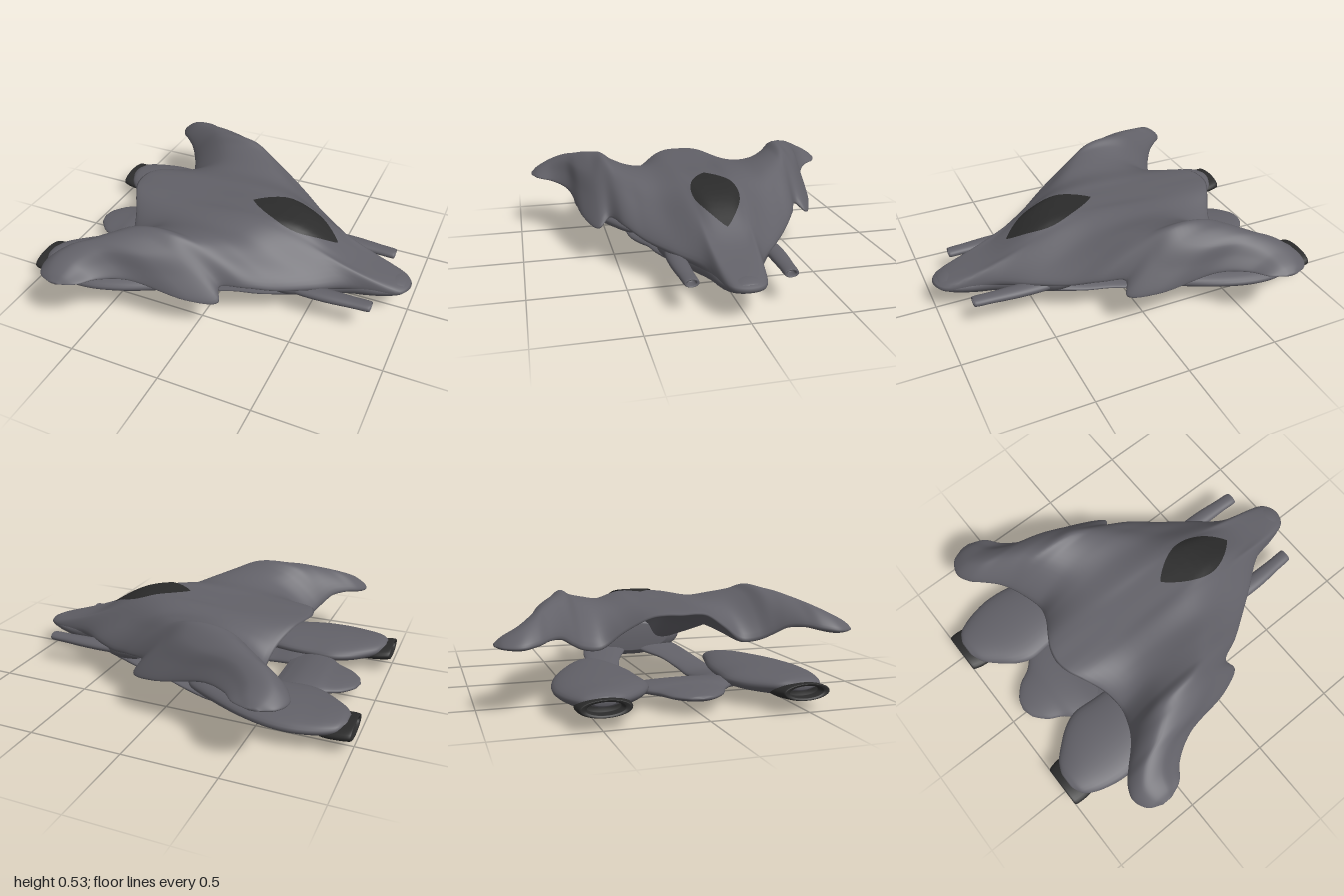
import * as THREE from 'three';

const V = (x, y, z) => new THREE.Vector3(x, y, z);
const hullGrey = new THREE.MeshStandardMaterial({ color: 0x626168 });
hullGrey.name = 'hullGrey';
const darkGrey = new THREE.MeshStandardMaterial({ color: 0x2b2b2b, side: THREE.DoubleSide });
darkGrey.name = 'darkGrey';

// Skin a list of closed rings, cap both ends, and turn the faces outwards.
function skin(rings) {
  const n = rings[0].length, m = rings.length;
  const pts = rings.flat(), idx = [];
  for (let i = 0; i < m - 1; i++) {
    for (let j = 0; j < n; j++) {
      const a = i * n + j, b = i * n + (j + 1) % n;
      idx.push(a, b, a + n, b, b + n, a + n);
    }
  }
  for (const end of [0, m - 1]) {
    const c = V(0, 0, 0);
    rings[end].forEach(p => c.addScaledVector(p, 1 / n));
    pts.push(c);
    for (let j = 0; j < n; j++) {
      const a = end * n + j, b = end * n + (j + 1) % n;
      if (end) idx.push(a, b, pts.length - 1);
      else idx.push(b, a, pts.length - 1);
    }
  }
  let volume = 0;
  for (let i = 0; i < idx.length; i += 3) {
    volume += pts[idx[i]].dot(pts[idx[i + 1]].clone().cross(pts[idx[i + 2]]));
  }
  if (volume < 0) idx.reverse();
  const g = new THREE.BufferGeometry().setFromPoints(pts);
  g.setIndex(idx);
  g.computeVertexNormals();
  return g;
}

// Smooth body along x from sections [x, zCentre, halfWidth, yCentre, halfHeight].
function body(name, sections, material, side = 1, steps = 48, sides = 32) {
  const mid = new THREE.CatmullRomCurve3(sections.map(s => V(s[0], s[3], side * s[1])));
  const size = new THREE.CatmullRomCurve3(sections.map(s => V(s[2], s[4], s[0])));
  const rings = [];
  for (let i = 0; i <= steps; i++) {
    const c = mid.getPoint(i / steps), r = size.getPoint(i / steps), ring = [];
    for (let j = 0; j < sides; j++) {
      const a = j / sides * Math.PI * 2;
      ring.push(V(c.x, c.y + Math.max(r.y, 0.001) * Math.sin(a), c.z + Math.max(r.x, 0.001) * Math.cos(a)));
    }
    rings.push(ring);
  }
  const mesh = new THREE.Mesh(skin(rings), material);
  mesh.name = name;
  return mesh;
}

// Winged shell: z, trailing x, leading x, trailing y, three top y, leading y, three underside y (front to back)
const SHELL = [
  [0, -0.63, 1.0, 0.44, 0.455, 0.45, 0.275, 0.17, 0.085, 0.32, 0.37],
  [0.08, -0.615, 0.965, 0.44, 0.455, 0.45, 0.285, 0.17, 0.09, 0.32, 0.37],
  [0.15, -0.58, 0.71, 0.425, 0.455, 0.46, 0.365, 0.18, 0.12, 0.31, 0.36],
  [0.27, -0.52, 0.54, 0.35, 0.445, 0.44, 0.34, 0.2, 0.18, 0.3, 0.32],
  [0.38, -0.5, 0.38, 0.27, 0.45, 0.465, 0.365, 0.22, 0.24, 0.31, 0.27],
  [0.47, -0.525, 0.24, 0.28, 0.475, 0.495, 0.41, 0.26, 0.3, 0.35, 0.28],
  [0.53, -0.555, 0.12, 0.31, 0.505, 0.525, 0.435, 0.27, 0.31, 0.36, 0.31],
  [0.59, -0.6, 0.14, 0.35, 0.51, 0.475, 0.365, 0.22, 0.28, 0.36, 0.34],
  [0.66, -0.67, 0.0, 0.36, 0.485, 0.455, 0.355, 0.24, 0.29, 0.35, 0.35],
  [0.72, -0.725, -0.3, 0.35, 0.45, 0.45, 0.395, 0.32, 0.33, 0.335, 0.335],
  [0.8, -0.755, -0.44, 0.34, 0.41, 0.412, 0.38, 0.335, 0.33, 0.325, 0.32],
  [0.88, -0.72, -0.51, 0.34, 0.37, 0.373, 0.36, 0.34, 0.33, 0.325, 0.325],
  [0.915, -0.65, -0.59, 0.34, 0.345, 0.345, 0.345, 0.34, 0.335, 0.335, 0.335],
];

function shellGeometry() {
  const rows = [...SHELL.slice(1).reverse().map(r => [-r[0], ...r.slice(1)]), ...SHELL];
  const chord = [0, 0.25, 0.6, 0.8, 1, 0.75, 0.5, 0.25];
  const columns = chord.map((t, k) => new THREE.CatmullRomCurve3(
    rows.map(r => V(r[1] + (r[2] - r[1]) * t, r[3 + k], r[0]))));
  const rings = [], steps = 192, around = 64;
  for (let i = 0; i <= steps; i++) {
    const loop = new THREE.CatmullRomCurve3(columns.map(c => c.getPoint(i / steps)), true);
    rings.push(Array.from({ length: around }, (_, j) => loop.getPoint(j / around)));
  }
  return skin(rings);
}

// Lens-shaped canopy plate draped over the shell
function canopyGeometry(shell) {
  const g = new THREE.PlaneGeometry(1, 1, 32, 16);
  const p = g.attributes.position, ray = new THREE.Raycaster();
  for (let i = 0; i < p.count; i++) {
    const u = p.getX(i) + 0.5;
    const x = 0.08 + 0.5 * u;
    const z = -p.getY(i) * 2 * 0.125 * Math.pow(Math.max(Math.sin(Math.PI * u), 0), 0.85);
    ray.set(V(x, 2, z), V(0, -1, 0));
    const hit = ray.intersectObject(shell)[0];
    p.setXYZ(i, x, (hit ? hit.point.y : 0.4) + 0.007, z);
  }
  g.computeVertexNormals();
  return g;
}

export function createModel() {
  const ship = new THREE.Group();
  ship.name = 'spacecraft';

  const shell = new THREE.Mesh(shellGeometry(), hullGrey);
  shell.name = 'wingedShell';
  shell.updateMatrixWorld(true);
  const canopy = new THREE.Mesh(canopyGeometry(shell), darkGrey);
  canopy.name = 'canopy';
  ship.add(shell, canopy);

  // Nose and belly under the shell
  ship.add(body('noseHull', [
    [0.26, 0, 0.22, 0.18, 0.08], [0.29, 0, 0.3, 0.185, 0.115], [0.4, 0, 0.32, 0.185, 0.118],
    [0.55, 0, 0.235, 0.172, 0.102], [0.7, 0, 0.15, 0.16, 0.08], [0.85, 0, 0.12, 0.162, 0.052],
    [0.93, 0, 0.095, 0.17, 0.036], [0.97, 0, 0.06, 0.172, 0.02], [0.985, 0, 0.01, 0.172, 0.003],
  ], hullGrey));

  // Flat lobe joining the two pods at the rear
  ship.add(body('tailLobe', [
    [-0.915, 0, 0.005, 0.09, 0.003], [-0.9, 0, 0.06, 0.09, 0.014], [-0.84, 0, 0.13, 0.09, 0.026],
    [-0.76, 0, 0.175, 0.092, 0.034], [-0.7, 0, 0.235, 0.095, 0.038], [-0.6, 0, 0.31, 0.093, 0.034],
    [-0.52, 0, 0.3, 0.087, 0.018], [-0.48, 0, 0.24, 0.085, 0.003],
  ], hullGrey));

  for (const side of [1, -1]) {
    const label = side > 0 ? 'front' : 'back';
    // Broad arms curving from the belly to the pods
    ship.add(body(label + 'Arm', [
      [0.45, 0.11, 0.14, 0.125, 0.04], [0.25, 0.18, 0.125, 0.098, 0.028], [0.1, 0.225, 0.1, 0.08, 0.022],
      [-0.05, 0.26, 0.095, 0.052, 0.025], [-0.2, 0.28, 0.105, 0.036, 0.028], [-0.35, 0.28, 0.115, 0.052, 0.03],
      [-0.5, 0.25, 0.12, 0.075, 0.03], [-0.65, 0.2, 0.1, 0.085, 0.02],
    ], hullGrey, side));
    // Leaf-shaped engine pods
    ship.add(body(label + 'EnginePod', [
      [-0.065, 0.36, 0.005, 0.115, 0.003], [-0.1, 0.365, 0.05, 0.115, 0.025], [-0.22, 0.385, 0.11, 0.12, 0.045],
      [-0.42, 0.41, 0.19, 0.122, 0.053], [-0.58, 0.428, 0.222, 0.12, 0.057], [-0.7, 0.43, 0.23, 0.118, 0.058],
      [-0.79, 0.442, 0.205, 0.118, 0.055], [-0.87, 0.462, 0.16, 0.12, 0.05], [-0.93, 0.475, 0.112, 0.125, 0.038],
      [-0.962, 0.48, 0.055, 0.13, 0.02],
    ], hullGrey, side));
    // Dark nozzles, hollow at the end
    ship.add(body(label + 'Nozzle', [
      [-0.79, 0.465, 0.08, 0.088, 0.022], [-0.85, 0.475, 0.12, 0.092, 0.037], [-0.93, 0.48, 0.13, 0.1, 0.042],
      [-0.995, 0.485, 0.12, 0.106, 0.042], [-1, 0.485, 0.112, 0.106, 0.039], [-0.995, 0.485, 0.09, 0.106, 0.03],
      [-0.95, 0.485, 0.08, 0.106, 0.026],
    ], darkGrey, side));
    // Gun barrels beside the nose
    ship.add(body(label + 'Gun', [
      [0.3, 0.24, 0.03, 0.165, 0.02], [0.45, 0.25, 0.048, 0.168, 0.028], [0.6, 0.255, 0.047, 0.17, 0.028],
      [0.75, 0.25, 0.04, 0.17, 0.024], [0.85, 0.245, 0.034, 0.17, 0.02], [0.848, 0.245, 0.024, 0.17, 0.014],
      [0.8, 0.245, 0.022, 0.17, 0.012],
    ], hullGrey, side));
  }
  return ship;
}
